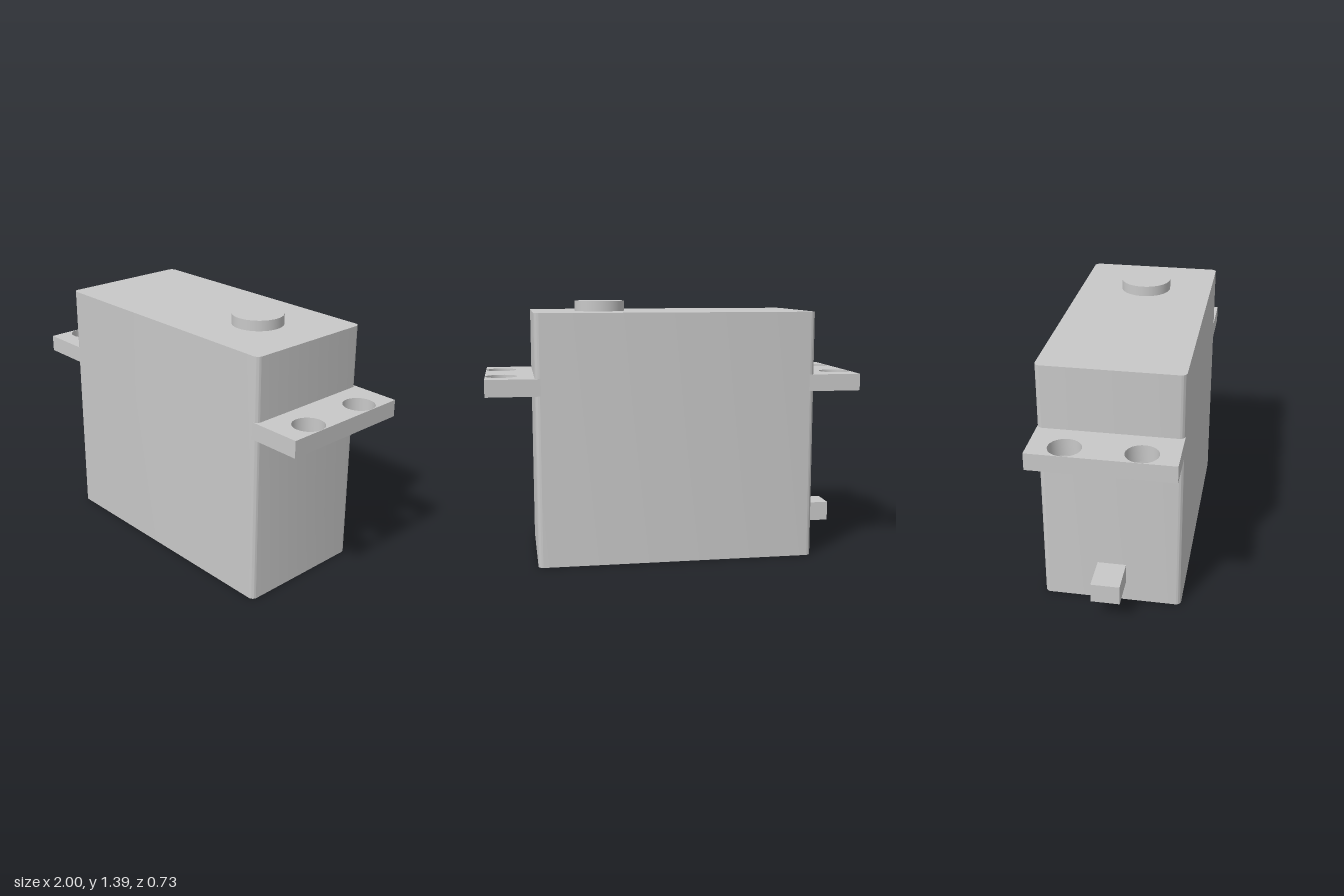
import * as THREE from 'three';
import { toCreasedNormals } from 'three/addons/utils/BufferGeometryUtils.js';

const W = 0.745, D = 0.365, H = 1.335; // body half width, half depth, height

// Plan shape (drawn in x, z) raised from y0 to y1
function raise(shape, y0, y1) {
  const g = new THREE.ExtrudeGeometry(shape, { depth: y1 - y0, bevelEnabled: false, curveSegments: 16 });
  g.rotateX(-Math.PI / 2).translate(0, y0, 0);
  return toCreasedNormals(g, 0.6);
}

function roundedPlan(w, d, r) {
  const s = new THREE.Shape();
  s.absarc(w - r, d - r, r, 0, Math.PI / 2);
  s.absarc(r - w, d - r, r, Math.PI / 2, Math.PI);
  s.absarc(r - w, r - d, r, Math.PI, Math.PI * 1.5);
  s.absarc(w - r, r - d, r, Math.PI * 1.5, Math.PI * 2);
  s.closePath();
  return s;
}

// Mounting tab with two screw holes, running into the rounded body corners
function tabPlan() {
  const s = new THREE.Shape();
  s.moveTo(0.715, -D);
  s.lineTo(1, -D);
  s.lineTo(1, D);
  s.lineTo(0.715, D);
  s.closePath();
  for (const z of [-0.185, 0.185]) {
    const hole = new THREE.Path();
    hole.absarc(0.915, z, 0.083, 0, Math.PI * 2, true);
    s.holes.push(hole);
  }
  return s;
}

export function createModel() {
  const group = new THREE.Group();
  const grey = new THREE.MeshStandardMaterial({ color: 0xc8c8c8 });
  grey.name = 'grey plastic';

  const add = (name, geometry) => {
    const mesh = new THREE.Mesh(geometry, grey);
    mesh.name = name;
    group.add(mesh);
    return mesh;
  };

  // Case with rounded upright edges
  add('body', raise(roundedPlan(W, D, 0.03), 0, H));

  // Mounting tabs on both ends
  const tab = raise(tabPlan(), 0.91, 1.0);
  add('leftMountingTab', tab);
  add('rightMountingTab', tab).rotation.y = Math.PI;

  // Output shaft on top
  add('outputShaft', new THREE.CylinderGeometry(0.136, 0.136, 0.055, 48)).position.set(0.375, H + 0.0275, 0);

  // Cable outlet low on the right end
  add('cableOutlet', new THREE.BoxGeometry(0.2, 0.106, 0.15)).position.set(-0.835, 0.171, 0);

  return group;
}
